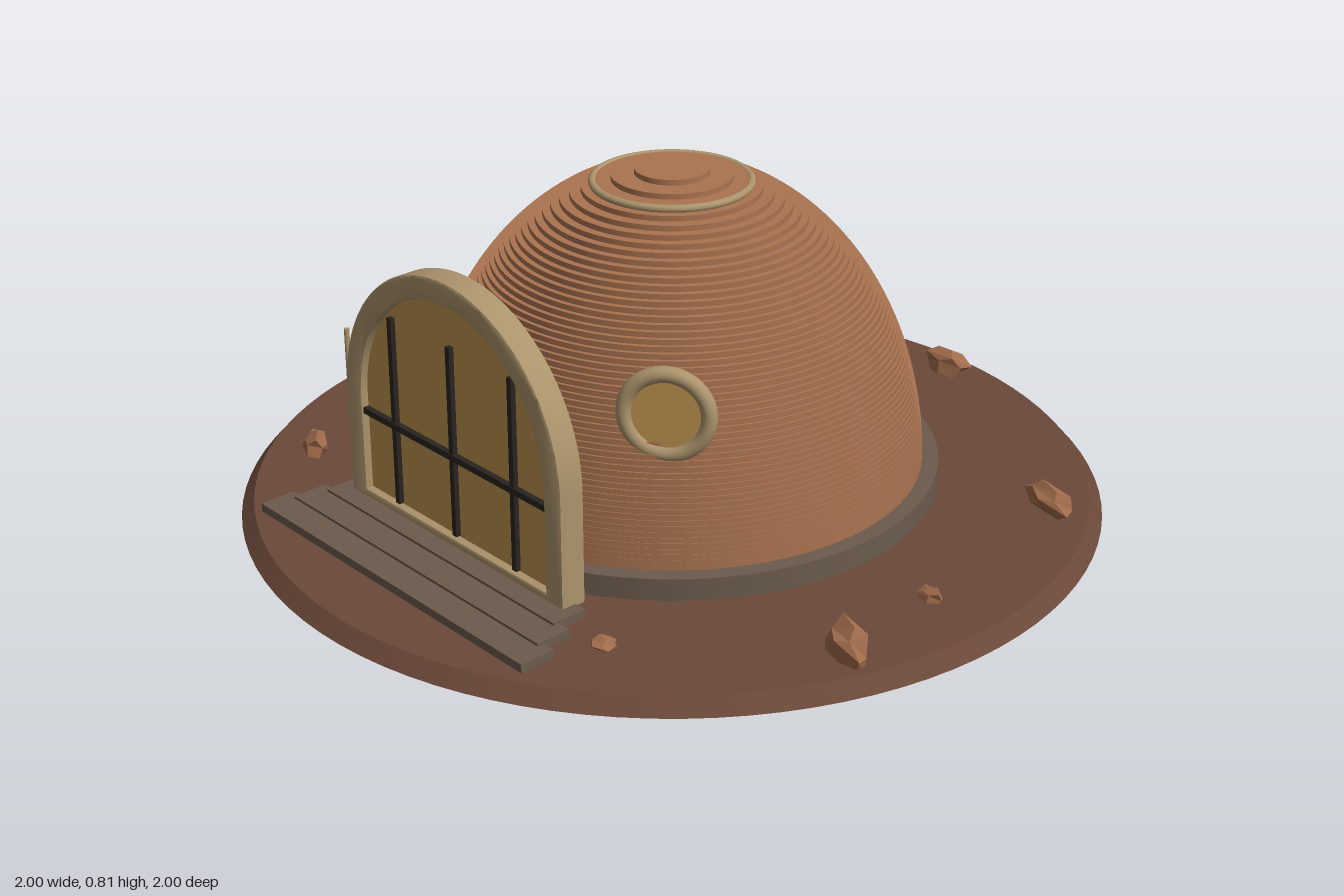
import * as THREE from 'three';
import { toCreasedNormals } from 'three/addons/utils/BufferGeometryUtils.js';

const paint = (color, extra = {}) => new THREE.MeshStandardMaterial({ color, ...extra });
const CLAY = paint(0xaa7350);
const EARTH = paint(0x6b4839);
const STONE = paint(0x6b5b4d);
const CREAM = paint(0xac946c);
const GLASS = paint(0xbd9350);
const IRON = paint(0x2a2420);
const ROCK = paint(0xa06c4b, { flatShading: true });

function add(parent, name, geometry, material, x = 0, y = 0, z = 0) {
  const mesh = new THREE.Mesh(geometry, material);
  mesh.name = name;
  mesh.position.set(x, y, z);
  parent.add(mesh);
  return mesh;
}

// Dome made of equally high stacked layers following an elliptical profile
function layeredDome(radius, height, layers) {
  const points = [];
  const h = height / layers;
  for (let i = 0; i < layers; i++) {
    const t = (i + 0.4) / layers;
    const r = radius * Math.sqrt(1 - t * t);
    points.push(new THREE.Vector2(r, i * h), new THREE.Vector2(r, (i + 1) * h));
  }
  points.push(new THREE.Vector2(0, height));
  return toCreasedNormals(new THREE.LatheGeometry(points, 96), 0.6);
}

// Arched outline: straight sides with a half-round top
function archPath(path, halfWidth, bottom, spring) {
  path.moveTo(-halfWidth, bottom);
  path.lineTo(halfWidth, bottom);
  path.lineTo(halfWidth, spring);
  path.absarc(0, spring, halfWidth, 0, Math.PI, false);
  path.closePath();
  return path;
}

// Irregular stone: each corner of a polyhedron is scaled by a rule of its position
function rockGeometry(seed) {
  const geometry = new THREE.DodecahedronGeometry(1, 0);
  const p = geometry.attributes.position;
  for (let i = 0; i < p.count; i++) {
    const [x, y, z] = [p.getX(i), p.getY(i), p.getZ(i)];
    const k = 0.9 + 0.18 * Math.sin(x * 3.1 + y * 4.7 + z * 2.3 + seed * 2.1);
    p.setXYZ(i, x * k, y * k, z * k);
  }
  geometry.computeVertexNormals();
  return geometry;
}

function buildDoor() {
  const door = new THREE.Group();
  door.name = 'archedDoor';

  const frame = archPath(new THREE.Shape(), 0.364, 0.106, 0.355);
  frame.holes.push(archPath(new THREE.Path(), 0.321, 0.116, 0.355));
  const frameGeometry = new THREE.ExtrudeGeometry(frame, {
    depth: 0.05, bevelSize: 0.006, bevelThickness: 0.007, bevelSegments: 2, curveSegments: 40,
  });
  add(door, 'doorFrame', toCreasedNormals(frameGeometry, 0.6), CREAM, 0, 0, 0.592);

  const pane = archPath(new THREE.Shape(), 0.32, 0.115, 0.355);
  const paneGeometry = new THREE.ExtrudeGeometry(pane, {
    depth: 0.03, bevelEnabled: false, curveSegments: 40,
  });
  add(door, 'doorPane', toCreasedNormals(paneGeometry, 0.6), GLASS, 0, 0, 0.6);

  for (const x of [-0.205, 0, 0.205]) {
    add(door, 'verticalBar', new THREE.BoxGeometry(0.014, 0.45, 0.014), IRON, x, 0.35, 0.635);
  }
  add(door, 'crossBar', new THREE.BoxGeometry(0.63, 0.015, 0.014), IRON, 0, 0.317, 0.637);
  add(door, 'sideRod', new THREE.CylinderGeometry(0.006, 0.006, 0.29, 12), CREAM, -0.383, 0.345, 0.63);
  return door;
}

function buildWindow() {
  const win = new THREE.Group();
  win.name = 'roundWindow';
  add(win, 'windowRim', new THREE.TorusGeometry(0.091, 0.018, 16, 48), CREAM);
  const pane = add(win, 'windowPane', new THREE.CylinderGeometry(0.09, 0.09, 0.014, 48), GLASS);
  pane.rotation.x = Math.PI / 2;
  win.position.set(0.38, 0.465, 0.365);
  win.rotation.y = 0.62;
  return win;
}

export function createModel() {
  const model = new THREE.Group();
  model.name = 'domeHouse';

  // Ground disc with a sloping rim
  add(model, 'ground', new THREE.CylinderGeometry(0.97, 1, 0.034, 96), EARTH, 0, 0.045, 0);

  // Foundations and domes, main and side
  const rooms = [
    { name: 'main', x: 0, z: 0, base: 0.62, radius: 0.583, height: 0.72, layers: 57 },
    { name: 'side', x: -0.54, z: -0.1, base: 0.28, radius: 0.247, height: 0.37, layers: 30 },
  ];
  for (const r of rooms) {
    add(model, r.name + 'Foundation', new THREE.CylinderGeometry(r.base, r.base, 0.052, 96),
      STONE, r.x, 0.098, r.z);
    add(model, r.name + 'Dome', layeredDome(r.radius, r.height, r.layers), CLAY, r.x, 0.098, r.z);
  }

  // Ring around the crown of the main dome
  const crown = add(model, 'crownRing', new THREE.TorusGeometry(0.178, 0.009, 12, 72), CREAM, 0, 0.787, 0);
  crown.rotation.x = Math.PI / 2;

  model.add(buildDoor(), buildWindow());

  // Three shallow steps, widening towards the front
  for (let i = 0; i < 3; i++) {
    add(model, 'step', new THREE.BoxGeometry(0.8 + i * 0.062, 0.02, 0.085),
      STONE, 0, 0.095 - i * 0.006, 0.655 + i * 0.0685);
  }

  // Scattered rocks: x, y, z, half sizes along x, y, z
  const rocks = [
    [0.07, 0.085, -0.89, 0.075, 0.05, 0.038],
    [-0.4, 0.08, -0.75, 0.06, 0.035, 0.035],
    [0.74, 0.1, -0.48, 0.077, 0.04, 0.035],
    [-0.845, 0.085, -0.15, 0.036, 0.038, 0.036],
    [0.81, 0.07, 0, 0.036, 0.025, 0.02],
    [0.85, 0.08, 0.3, 0.058, 0.075, 0.036],
    [-0.745, 0.075, 0.31, 0.03, 0.025, 0.03],
    [-0.63, 0.09, 0.57, 0.038, 0.042, 0.038],
    [0.49, 0.075, 0.64, 0.03, 0.018, 0.03],
    [-0.2, 0.075, 0.79, 0.012, 0.012, 0.012],
  ];
  rocks.forEach(([x, y, z, sx, sy, sz], i) => {
    const rock = add(model, 'rock', rockGeometry(i), ROCK, x, y, z);
    rock.scale.set(sx, sy, sz);
    rock.rotation.set(0.1 * Math.sin(i), 0.3 * Math.sin(i * 2), 0.1 * Math.cos(i));
  });

  return model;
}
